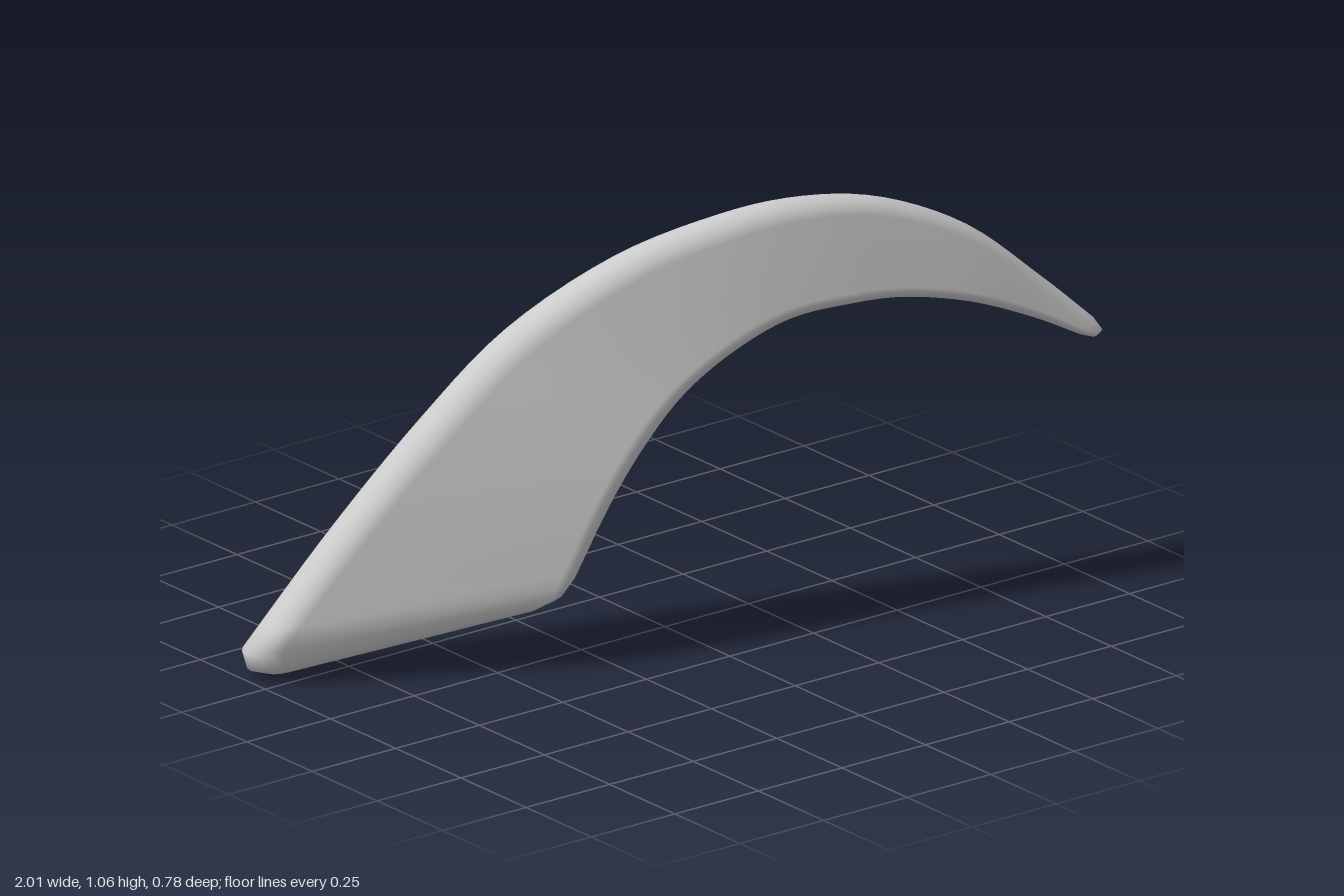
import * as THREE from 'three';

const V = (p) => new THREE.Vector3(p[0], p[1], p[2]);

// Stations from base to tip: outer edge, inner edge, half thickness
const STATIONS = [
  [[-1, 0.07, -0.34], [-0.305, 0.215, 0.045], 0.078],
  [[-0.8, 0.36, -0.25], [-0.22, 0.385, 0.07], 0.076],
  [[-0.6, 0.61, -0.17], [-0.13, 0.52, 0.09], 0.073],
  [[-0.4, 0.81, -0.1], [-0.03, 0.63, 0.11], 0.068],
  [[-0.15, 0.965, -0.005], [0.09, 0.715, 0.14], 0.06],
  [[0.1, 1.04, 0.08], [0.23, 0.775, 0.175], 0.053],
  [[0.3, 1.058, 0.14], [0.38, 0.79, 0.215], 0.047],
  [[0.5, 1.025, 0.195], [0.52, 0.785, 0.25], 0.041],
  [[0.7, 0.93, 0.26], [0.68, 0.75, 0.295], 0.034],
  [[0.87, 0.78, 0.325], [0.83, 0.69, 0.335], 0.027],
  [[0.985, 0.665, 0.38], [0.95, 0.628, 0.375], 0.02],
];
const ARC = 8;
const STEPS = 50;

// Rounded slab section: soft outer edge, tighter inner edge
function section(outer, inner, half, normal) {
  const u = outer.clone().sub(inner);
  const length = u.length();
  u.normalize();
  const pts = [];
  for (const [edge, sign, roundness] of [[outer, 1, 1.15], [inner, -1, 0.7]]) {
    const r = Math.min(half * roundness, length * 0.45);
    for (let k = 0; k <= ARC; k++) {
      const a = -Math.PI / 2 + (Math.PI * k) / ARC;
      pts.push(edge.clone()
        .addScaledVector(u, sign * r * (Math.cos(a) - 1))
        .addScaledVector(normal, sign * half * Math.sin(a)));
    }
  }
  return pts;
}

// Skin the rings and close both ends
function loft(rings) {
  const n = rings[0].length;
  const pos = [];
  const index = [];
  rings.forEach((ring) => ring.forEach((p) => pos.push(p.x, p.y, p.z)));
  for (let i = 0; i < rings.length - 1; i++) {
    for (let k = 0; k < n; k++) {
      const a = i * n + k;
      const b = i * n + ((k + 1) % n);
      index.push(a, b, a + n, b, b + n, a + n);
    }
  }
  [0, rings.length - 1].forEach((i) => {
    const c = new THREE.Vector3();
    rings[i].forEach((p) => c.addScaledVector(p, 1 / n));
    const centre = pos.length / 3;
    pos.push(c.x, c.y, c.z);
    for (let k = 0; k < n; k++) {
      const a = i * n + k;
      const b = i * n + ((k + 1) % n);
      if (i === 0) index.push(centre, b, a);
      else index.push(centre, a, b);
    }
  });
  const geo = new THREE.BufferGeometry();
  geo.setAttribute('position', new THREE.Float32BufferAttribute(pos, 3));
  geo.setIndex(index);
  geo.computeVertexNormals();
  return geo;
}

export function createModel() {
  const curve = (pts) => new THREE.CatmullRomCurve3(pts, false, 'catmullrom', 0.5);
  const outer = curve(STATIONS.map((s) => V(s[0])));
  const inner = curve(STATIONS.map((s) => V(s[1])));
  const thick = curve(STATIONS.map((s, i) => new THREE.Vector3(i, s[2], 0)));

  // Face direction of the slab at t
  const normalAt = (t) => {
    const u = outer.getPoint(t).sub(inner.getPoint(t));
    const t0 = Math.max(t - 0.02, 0);
    const t1 = Math.min(t + 0.02, 1);
    const along = outer.getPoint(t1).add(inner.getPoint(t1))
      .sub(outer.getPoint(t0)).sub(inner.getPoint(t0));
    return along.cross(u).normalize();
  };

  const rings = [];
  // Bevelled base
  const n0 = normalAt(0);
  rings.push(section(V([-0.93, 0, -0.335]), V([-0.38, 0.148, 0.01]), 0.042, n0));
  rings.push(section(V([-0.98, 0.018, -0.345]), V([-0.33, 0.178, 0.035]), 0.066, n0));
  // Sweeping blade
  for (let i = 0; i <= STEPS; i++) {
    const t = i / STEPS;
    rings.push(section(outer.getPoint(t), inner.getPoint(t), thick.getPoint(t).y, normalAt(t)));
  }
  // Blunt tip
  rings.push(section(V([1, 0.637, 0.393]), V([0.975, 0.62, 0.388]), 0.014, normalAt(1)));

  const blade = new THREE.Mesh(loft(rings), new THREE.MeshStandardMaterial({ color: 0xcccccc }));
  blade.name = 'curvedHorn';
  const group = new THREE.Group();
  group.name = 'horn';
  group.add(blade);
  return group;
}
